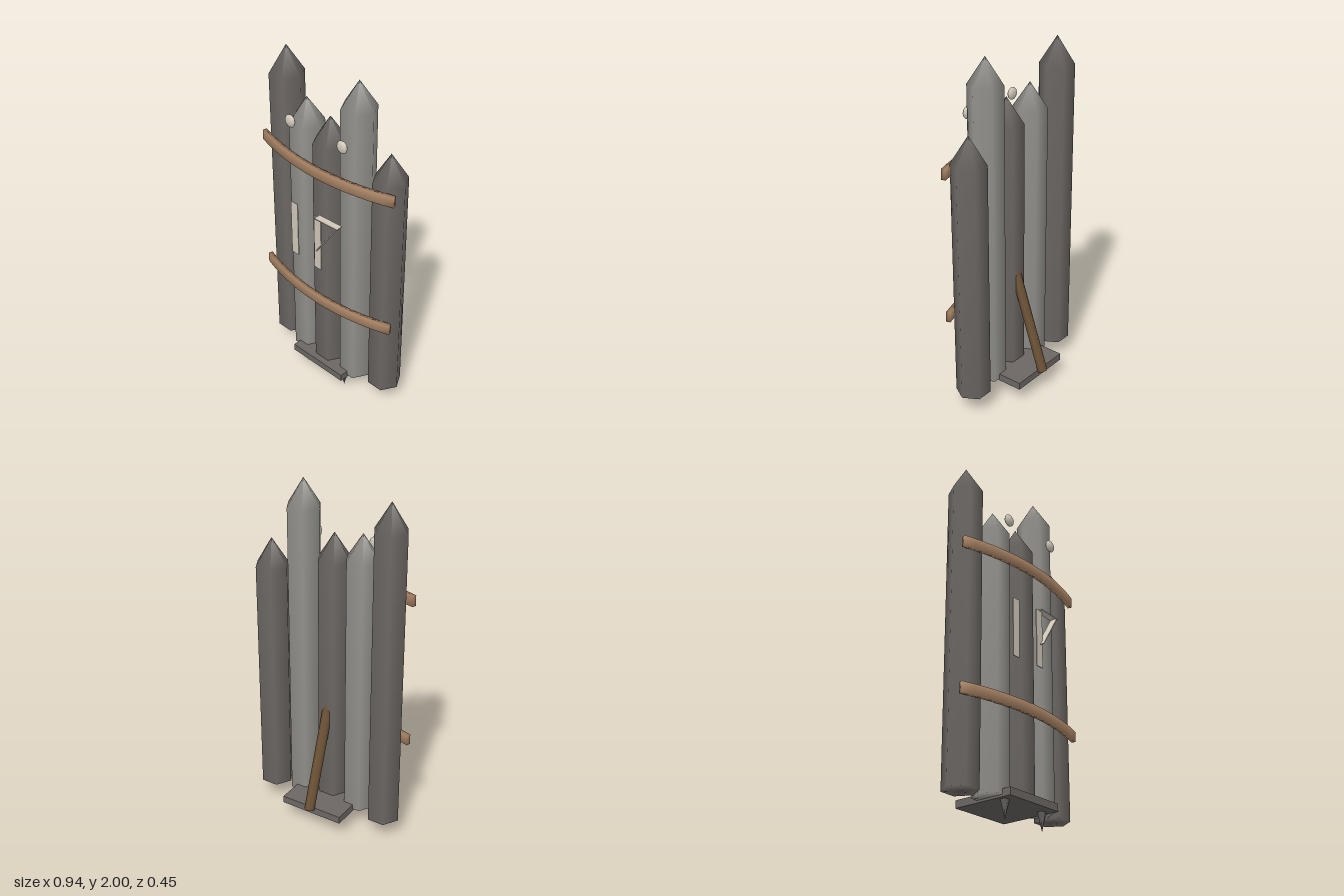
import * as THREE from 'three';
import { mergeVertices } from 'three/addons/utils/BufferGeometryUtils.js';

const material = (name, color, side = THREE.FrontSide) => {
  const m = new THREE.MeshStandardMaterial({ color, side });
  m.name = name;
  return m;
};

export function createModel() {
  const root = new THREE.Group();
  root.name = 'palisadeShield';

  const darkWood = material('dark grey wood', 0x6c6764);
  const lightWood = material('light grey wood', 0x92918c);
  const strapWood = material('tan strap', 0xa98465);
  const propWood = material('brown prop', 0x6d5236);
  const bone = material('pale bone', 0xd0c8ba, THREE.DoubleSide);

  const add = (name, geometry, mat, x = 0, y = 0, z = 0) => {
    const mesh = new THREE.Mesh(geometry, mat);
    mesh.name = name;
    mesh.position.set(x, y, z);
    root.add(mesh);
    return mesh;
  };

  // Five sharpened six-sided logs: x, z, shoulder height, tip height, colour
  const logs = [
    [-0.365, 0.011, 1.83, 1.985, darkWood],
    [-0.182, 0.05, 1.625, 1.77, lightWood],
    [0, 0.064, 1.585, 1.735, darkWood],
    [0.182, 0.05, 1.85, 2.0, lightWood],
    [0.365, 0.011, 1.49, 1.645, darkWood],
  ];
  logs.forEach(([x, z, shoulder, tip, mat], i) => {
    const profile = [[0, 0.117], [0.097, 0.117], [0.097, shoulder], [0, tip]]
      .map(([r, y]) => new THREE.Vector2(r, y));
    add(`log${i + 1}`, new THREE.LatheGeometry(profile, 6, Math.PI / 6), mat, x, 0, z);
  });

  // Curved straps: a box bent along a shallow arc
  const bentStrap = () => {
    const source = new THREE.BoxGeometry(0.93, 0.06, 0.024, 14, 1, 1);
    source.deleteAttribute('normal');
    source.deleteAttribute('uv');
    const g = mergeVertices(source);
    const p = g.attributes.position;
    for (let i = 0; i < p.count; i++) {
      const x = p.getX(i), t = p.getZ(i);
      const slope = 0.72 * x;
      const len = Math.hypot(1, slope);
      p.setX(i, x + t * slope / len);
      p.setZ(i, 0.171 - 0.36 * x * x + t / len);
    }
    g.computeVertexNormals();
    return g;
  };
  add('upperStrap', bentStrap(), strapWood, 0, 1.445, 0);
  add('lowerStrap', bentStrap(), strapWood, 0, 0.609, 0);

  // Foot plate with two ground spikes
  add('footPlate', new THREE.BoxGeometry(0.382, 0.042, 0.364), darkWood, 0, 0.125, 0.003);
  for (const s of [-1, 1]) {
    const spike = add(s < 0 ? 'rightSpike' : 'leftSpike',
      new THREE.ConeGeometry(0.026, 0.106, 6), darkWood, s * 0.147, 0.053, 0.112);
    spike.rotation.x = Math.PI;
  }

  // Slanted rear prop, running into the middle log
  const foot = new THREE.Vector3(0, 0.138, -0.195);
  const head = new THREE.Vector3(0, 0.76, 0.017);
  const axis = head.clone().sub(foot);
  const prop = add('rearProp', new THREE.CylinderGeometry(0.029, 0.029, axis.length(), 6), propWood);
  prop.position.copy(foot).add(head).multiplyScalar(0.5);
  prop.quaternion.setFromUnitVectors(new THREE.Vector3(0, 1, 0), axis.normalize());

  // Studs near the top
  for (const s of [-1, 1]) {
    const stud = add(s < 0 ? 'rightStud' : 'leftStud',
      new THREE.SphereGeometry(1, 10, 6), bone, s * 0.182, 1.675, 0.171);
    stud.scale.set(0.035, 0.036, 0.017);
  }

  // Thin upright slats
  add('rightSlat', new THREE.BoxGeometry(0.049, 0.338, 0.006), bone, -0.148, 1.026, 0.19);
  add('leftSlat', new THREE.BoxGeometry(0.049, 0.338, 0.006), bone, 0.034, 1.026, 0.2);

  // Folded strip: a level shelf and a diagonal brace
  const shelf = add('foldedShelf', new THREE.BoxGeometry(0.155, 0.006, 0.04), bone, 0.108, 1.194, 0.197);
  shelf.rotation.y = 0.06;
  const brace = add('foldedBrace', new THREE.BoxGeometry(0.238, 0.005, 0.042), bone, 0.106, 1.09, 0.201);
  brace.rotation.z = Math.atan2(0.2, 0.13);
  brace.rotation.y = 0.06;

  return root;
}
